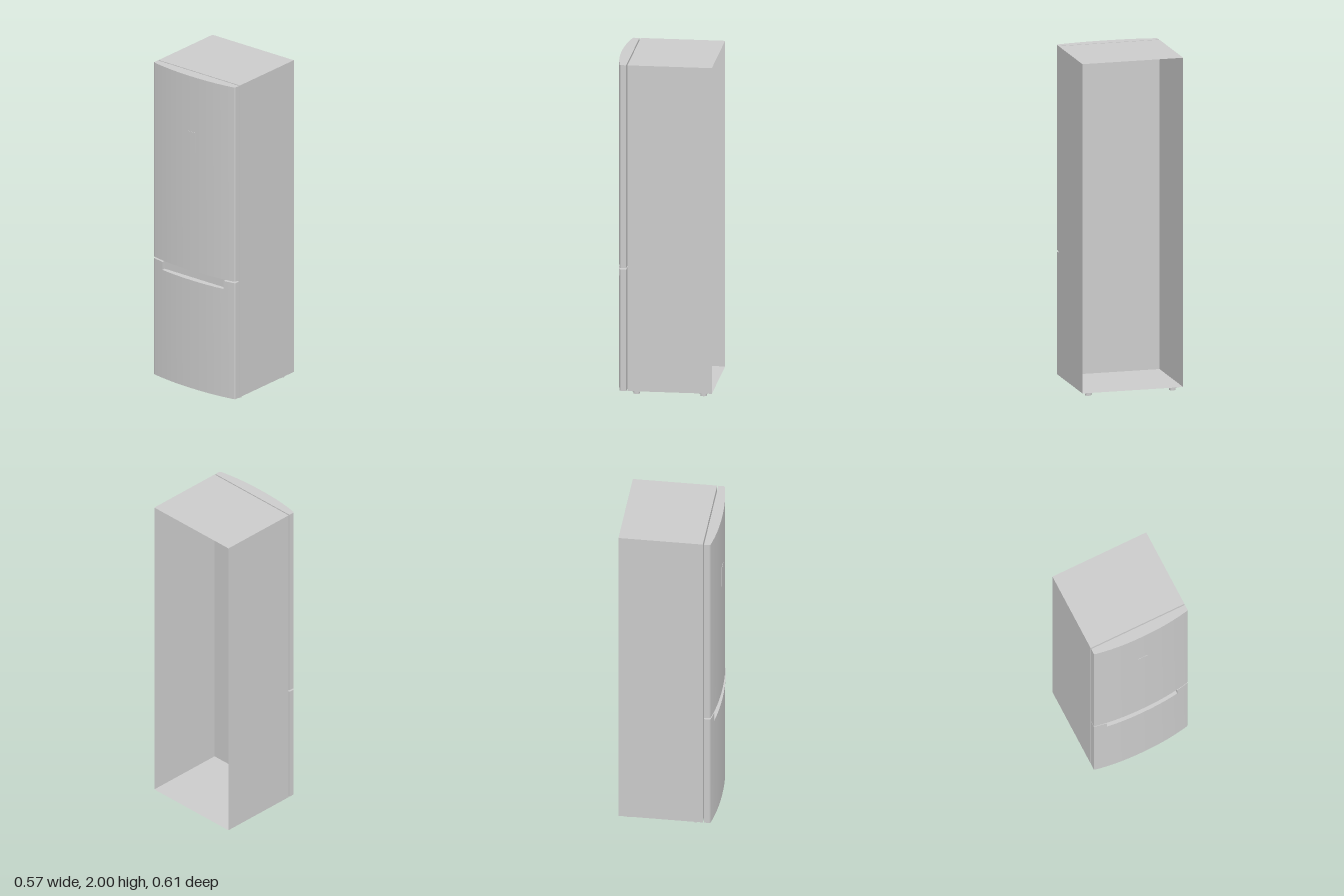
import * as THREE from 'three';
import { toCreasedNormals } from 'three/addons/utils/BufferGeometryUtils.js';

const material = new THREE.MeshStandardMaterial({ color: 0xcccccc, side: THREE.DoubleSide });
const HALF = 0.307;      // half width of the cabinet along z
const DOOR_BACK = -0.22;
const BOTTOM = 0.025;

// Bowed door face: x of the surface at a given z
const bow = (z) => -0.286 + 0.027 * Math.pow(Math.abs(z) / 0.3, 2.2);

// Points along the bowed face between two z values
function bowPoints(z0, z1, offset = 0, n = 28) {
  return Array.from({ length: n + 1 }, (_, i) => {
    const z = z0 + ((z1 - z0) * i) / n;
    return new THREE.Vector2(bow(z) + offset, z);
  });
}

// Extrudes a plan outline (x, z) upwards from y0 to y1
function slab(name, points, y0, y1) {
  const geometry = new THREE.ExtrudeGeometry(new THREE.Shape(points), {
    depth: y1 - y0, bevelEnabled: false,
  });
  geometry.rotateX(-Math.PI / 2);
  geometry.translate(0, y0, 0);
  const mesh = new THREE.Mesh(toCreasedNormals(geometry, 0.4), material);
  mesh.name = name;
  return mesh;
}

// Plan outline of a door, with an optional hand notch cut into the front
function doorOutline(notch) {
  const v = (x, z) => new THREE.Vector2(x, z);
  const front = notch
    ? [...bowPoints(-0.3, -notch.half), v(notch.x, -notch.half),
       v(notch.x, notch.half), ...bowPoints(notch.half, 0.3)]
    : bowPoints(-0.3, 0.3);
  return [v(DOOR_BACK, -HALF), v(-0.254, -HALF), ...front, v(-0.254, HALF), v(DOOR_BACK, HALF)];
}

// Thin curved plate lying on the door face
function plate(name, z0, z1, y0, y1, thickness) {
  const outline = [...bowPoints(z0, z1, -thickness), ...bowPoints(z1, z0, 0.002)];
  return slab(name, outline, y0, y1);
}

export function createModel() {
  const model = new THREE.Group();
  model.name = 'refrigerator';

  // Thin-walled cabinet, open on the +x side
  const shell = new THREE.BoxGeometry(0.498, 2 - BOTTOM, HALF * 2);
  shell.setIndex(Array.from(shell.index.array).slice(6));
  shell.clearGroups();
  shell.translate(0.036, (2 + BOTTOM) / 2, 0);
  const cabinet = new THREE.Mesh(shell, material);
  cabinet.name = 'cabinet';
  model.add(cabinet);

  // Upper door with a small control panel
  const upper = new THREE.Group();
  upper.name = 'upperDoor';
  upper.add(slab('upperDoorPanel', doorOutline(), 0.77, 2));
  upper.add(plate('controlPanel', -0.03, 0.03, 1.52, 1.65, 0.002));
  model.add(upper);

  // Lower door with a hand notch along its top edge
  const notch = { half: 0.23, x: -0.25 };
  const lower = new THREE.Group();
  lower.name = 'lowerDoor';
  lower.add(slab('lowerDoorPanel', doorOutline(), BOTTOM, 0.71));
  lower.add(slab('lowerDoorTop', doorOutline(notch), 0.71, 0.76));
  // Raised trim around the notch
  lower.add(plate('notchTrimBottom', -0.235, 0.235, 0.704, 0.71, 0.002));
  for (const s of [-1, 1]) {
    const [a, b] = s < 0 ? [-0.235, -0.23] : [0.23, 0.235];
    lower.add(plate('notchTrimSide', a, b, 0.71, 0.76, 0.002));
  }
  model.add(lower);

  // Four levelling feet
  const footProfile = [[0, 0], [0.019, 0], [0.019, 0.012], [0.024, 0.012], [0.024, BOTTOM], [0, BOTTOM]]
    .map(([r, y]) => new THREE.Vector2(r, y));
  const footGeometry = toCreasedNormals(new THREE.LatheGeometry(footProfile, 24), 0.6);
  for (const x of [-0.165, 0.23]) {
    for (const z of [-0.257, 0.257]) {
      const foot = new THREE.Mesh(footGeometry, material);
      foot.name = 'foot';
      foot.position.set(x, 0, z);
      model.add(foot);
    }
  }
  return model;
}
